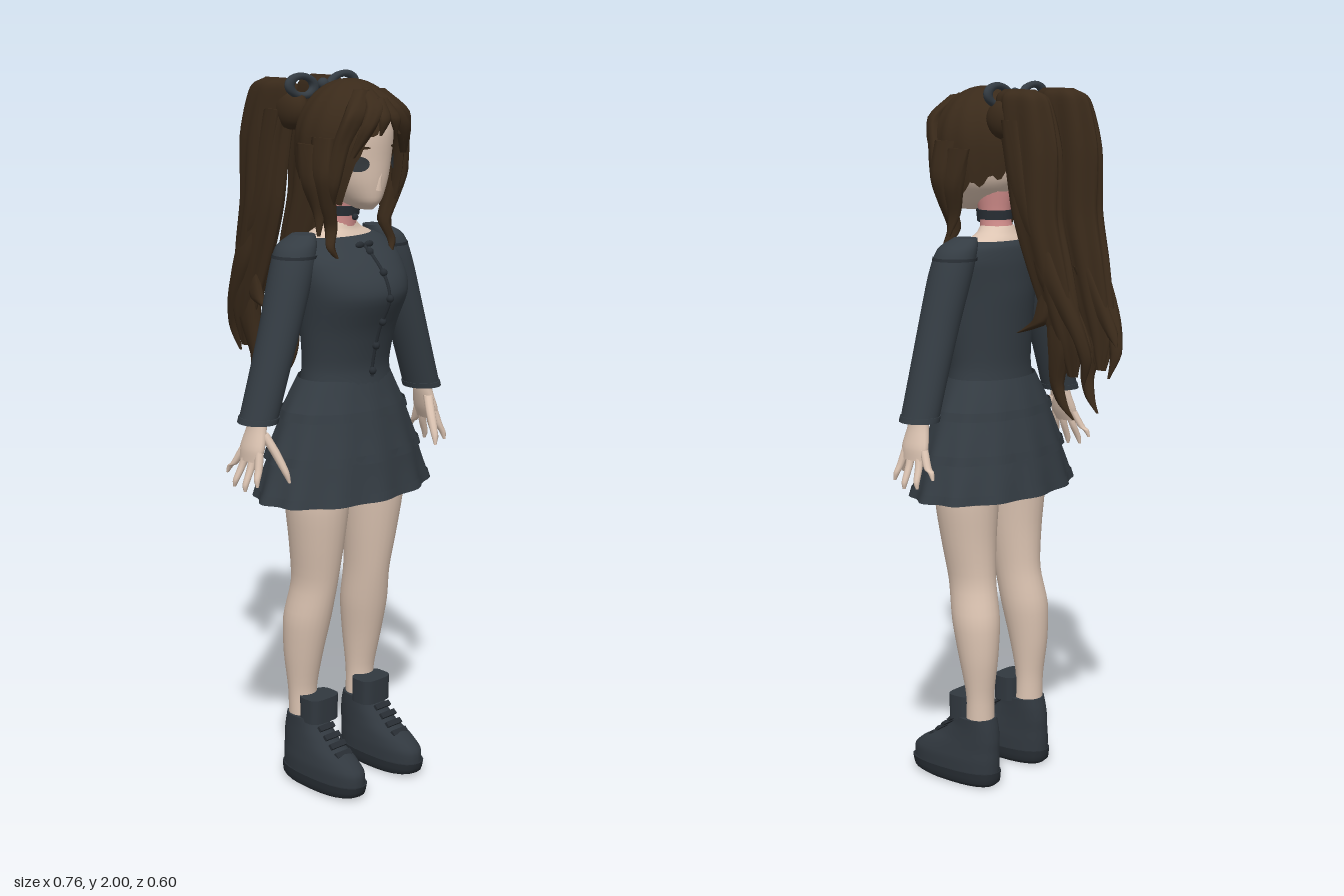
import * as THREE from 'three';

const mat = (name, color, double) => {
  const m = new THREE.MeshStandardMaterial({ color });
  m.name = name;
  if (double) m.side = THREE.DoubleSide;
  return m;
};

// Smooth stack of horizontal elliptical rings: each section is [x, y, z, rx, rz].
function loft(sections, { seg = 24, steps = 4, power = 2, caps = true, rule } = {}) {
  const s = sections[0][1] > sections[sections.length - 1][1] ? [...sections].reverse() : sections;
  const mid = new THREE.CatmullRomCurve3(s.map(r => new THREE.Vector3(r[0], r[1], r[2])), false, 'catmullrom', 0.4);
  const rad = new THREE.CatmullRomCurve3(s.map(r => new THREE.Vector3(r[3], r[4], 0)), false, 'catmullrom', 0.4);
  const rows = (s.length - 1) * steps, pos = [], idx = [];
  const bend = v => Math.sign(v) * Math.abs(v) ** (2 / power);
  for (let i = 0; i <= rows; i++) {
    const c = mid.getPoint(i / rows), r = rad.getPoint(i / rows);
    for (let j = 0; j < seg; j++) {
      const a = (j / seg) * Math.PI * 2;
      const p = new THREE.Vector3(c.x + r.x * bend(Math.cos(a)), c.y, c.z + r.y * bend(Math.sin(a)));
      if (rule) rule(p, a, i / rows, c);
      pos.push(p.x, p.y, p.z);
    }
  }
  for (let i = 0; i < rows; i++) for (let j = 0; j < seg; j++) {
    const a = i * seg + j, b = i * seg + (j + 1) % seg;
    idx.push(a, a + seg, b, b, a + seg, b + seg);
  }
  if (caps) for (const row of [0, rows]) {
    const base = pos.length / 3, c = mid.getPoint(row / rows);
    for (let j = 0; j < seg; j++) pos.push(...pos.slice((row * seg + j) * 3, (row * seg + j) * 3 + 3));
    pos.push(c.x, c.y, c.z);
    for (let j = 0; j < seg; j++) {
      const k = base + (j + 1) % seg;
      idx.push(base + seg, row ? k : base + j, row ? base + j : k);
    }
  }
  const g = new THREE.BufferGeometry();
  g.setAttribute('position', new THREE.Float32BufferAttribute(pos, 3));
  g.setIndex(idx);
  g.computeVertexNormals();
  return g;
}

export function createModel() {
  const model = new THREE.Group();
  model.name = 'girlFigure';
  const skin = mat('skin', 0xdcc4b2), blush = mat('neckPink', 0xd08c8a), lip = mat('lip', 0xb9938a);
  const dress = mat('dressSlate', 0x343c43, true), trim = mat('trimSlate', 0x272d33);
  const boot = mat('bootSlate', 0x31383f), hair = mat('hairBrown', 0x3a2a1a, true), iris = mat('eyeGrey', 0x33383c);
  const add = (name, geo, m, x = 0, y = 0, z = 0) => {
    const mesh = new THREE.Mesh(geo, m);
    mesh.name = name;
    mesh.position.set(x, y, z);
    model.add(mesh);
    return mesh;
  };
  const side = (s, rows) => rows.map(r => [r[0] * s, ...r.slice(1)]);
  const strands = (n, d) => (p, a, t, c) => {
    const k = 1 + d * Math.sin(n * a + 5 * t);
    p.x = c.x + (p.x - c.x) * k;
    p.z = c.z + (p.z - c.z) * k;
  };

  // Head, neck and bare shoulders
  add('head', loft([[0, 1.645, 0.175, 0.018, 0.03], [0, 1.67, 0.15, 0.05, 0.075], [0, 1.72, 0.125, 0.086, 0.108],
    [0, 1.78, 0.115, 0.106, 0.121], [0, 1.85, 0.112, 0.115, 0.127], [0, 1.91, 0.11, 0.1, 0.115], [0, 1.95, 0.11, 0.05, 0.06]], { seg: 36 }), skin);
  const nose = add('nose', new THREE.ConeGeometry(0.013, 0.045, 10), skin, 0, 1.722, 0.232);
  nose.rotation.x = 0.35;
  add('mouth', new THREE.BoxGeometry(0.032, 0.004, 0.006), lip, 0, 1.685, 0.221);
  add('neck', loft([[0, 1.57, 0.075, 0.05, 0.05], [0, 1.63, 0.085, 0.041, 0.045], [0, 1.7, 0.09, 0.05, 0.06]]), blush);
  add('shoulders', loft([[0, 1.53, 0.08, 0.15, 0.08], [0, 1.565, 0.075, 0.115, 0.064], [0, 1.585, 0.075, 0.07, 0.053], [0, 1.605, 0.078, 0.046, 0.046]]), skin);
  add('choker', loft([[0, 1.622, 0.087, 0.047, 0.051], [0, 1.648, 0.089, 0.048, 0.052]]), trim);
  add('pendant', new THREE.SphereGeometry(0.009, 10, 8), trim, 0, 1.618, 0.14);

  // Hair cap with an open face, swept strands and a raised nape
  const hairline = b => {
    const jag = 0.012 * Math.sin(b * 17);
    if (b < 0.65) return 1.885 - 0.09 * (b / 0.65) ** 1.4 + jag;
    if (b < 0.95) return 1.795 - 0.125 * (b - 0.65) / 0.3;
    return 1.67 + 0.11 * ((b - 0.95) / 2.19) + jag;
  };
  add('hairCap', loft([[0, 1.7, 0.118, 1, 1], [0, 1.98, 0.118, 1, 1]], {
    seg: 72, steps: 18, caps: false, rule: (p, a, t) => {
      const b = Math.abs(Math.atan2(Math.cos(a), Math.sin(a))), low = hairline(b);
      p.y = low + (1.985 - low) * Math.sin(t * Math.PI / 2);
      const h = (p.y - 1.82) / 0.165;
      const r = Math.sqrt(Math.max(0, 1 - h * h * (h > 0 ? 1 : 0.25))) * (1 + 0.014 * Math.sin(b * 14 + 4 * t));
      p.x = 0.142 * r * Math.cos(a);
      p.z = 0.118 + 0.15 * r * Math.sin(a);
    },
  }), hair);

  for (const s of [1, -1]) {
    const lr = s > 0 ? 'left' : 'right';
    // Eyes and brows follow the curve of the face
    const onFace = (name, w, h, x, y, m) => {
      const g = new THREE.CircleGeometry(1, 20), p = g.attributes.position;
      for (let i = 0; i < p.count; i++) {
        const px = x * s + p.getX(i) * w, py = y + p.getY(i) * h;
        p.setXYZ(i, px, py, 0.121 + 0.122 * Math.sqrt(Math.max(0, 1 - (px / 0.107) ** 2)));
      }
      g.computeVertexNormals();
      add(lr + name, g, m);
    };
    onFace('Eye', 0.026, 0.02, 0.066, 1.77, iris);
    onFace('Brow', 0.025, 0.004, 0.062, 1.812, hair);

    // Fringe and hanging side locks
    const locks = [
      [[0.01, 1.965, 0.18, 0.015, 0.02], [0.03, 1.92, 0.24, 0.03, 0.02], [0.065, 1.865, 0.252, 0.026, 0.016], [0.095, 1.79, 0.225, 0.008, 0.008]],
      [[0.03, 1.96, 0.19, 0.02, 0.02], [0.08, 1.9, 0.22, 0.035, 0.022], [0.112, 1.82, 0.2, 0.024, 0.024], [0.125, 1.72, 0.18, 0.02, 0.025], [0.115, 1.66, 0.17, 0.006, 0.008]],
      [[0.125, 1.84, 0.15, 0.02, 0.04], [0.135, 1.74, 0.16, 0.025, 0.035], [0.118, 1.66, 0.155, 0.022, 0.025], [0.1, 1.6, 0.15, 0.016, 0.02], [0.115, 1.55, 0.165, 0.012, 0.012], [0.1, 1.515, 0.18, 0.003, 0.003]],
      [[0.135, 1.82, 0.1, 0.015, 0.04], [0.142, 1.72, 0.12, 0.016, 0.035], [0.125, 1.64, 0.13, 0.014, 0.02], [0.135, 1.58, 0.14, 0.004, 0.005]],
    ];
    locks.forEach((l, i) => add(lr + 'FaceLock' + (i + 1), loft(side(s, l), { seg: 14, rule: strands(4, 0.12) }), hair));
    add(lr + 'FringeTip', loft([[0.005 * s, 1.94, 0.235, 0.012, 0.012], [0.018 * s, 1.89, 0.268, 0.02, 0.01], [0.028 * s, 1.845, 0.262, 0.003, 0.004]], { seg: 10 }), hair);

    // Long wavy pigtails built from one body and curling strands
    const tail = [[0.085, 1.98, -0.07, 0.012, 0.05], [0.088, 1.95, -0.085, 0.03, 0.085], [0.09, 1.82, -0.115, 0.038, 0.09], [0.09, 1.65, -0.13, 0.038, 0.078],
      [0.085, 1.52, -0.165, 0.034, 0.07], [0.08, 1.4, -0.2, 0.028, 0.058], [0.075, 1.31, -0.225, 0.02, 0.045], [0.065, 1.22, -0.235, 0.008, 0.015]];
    add(lr + 'Pigtail', loft(side(s, tail), { seg: 36, steps: 6, rule: strands(7, 0.09) }), hair);
    const curls = [
      [[0.1, 1.62, -0.14, 0.015, 0.03], [0.1, 1.48, -0.19, 0.022, 0.04], [0.085, 1.36, -0.25, 0.018, 0.03], [0.07, 1.27, -0.28, 0.012, 0.018], [0.058, 1.2, -0.265, 0.003, 0.004]],
      [[0.08, 1.42, -0.2, 0.02, 0.04], [0.078, 1.3, -0.2, 0.02, 0.035], [0.07, 1.2, -0.185, 0.014, 0.02], [0.063, 1.14, -0.2, 0.01, 0.015], [0.056, 1.1, -0.23, 0.003, 0.004]],
      [[0.095, 1.44, -0.17, 0.012, 0.025], [0.095, 1.37, -0.15, 0.012, 0.025], [0.09, 1.345, -0.11, 0.008, 0.018], [0.085, 1.325, -0.06, 0.002, 0.003]],
      [[0.115, 1.9, -0.06, 0.012, 0.03], [0.118, 1.72, -0.1, 0.012, 0.03], [0.112, 1.58, -0.15, 0.012, 0.025], [0.1, 1.48, -0.21, 0.003, 0.004]],
      [[0.065, 1.5, -0.17, 0.015, 0.03], [0.065, 1.34, -0.26, 0.012, 0.022], [0.057, 1.29, -0.292, 0.003, 0.004]],
    ];
    curls.forEach((l, i) => add(lr + 'TailCurl' + (i + 1), loft(side(s, l), { seg: 14, rule: strands(4, 0.12) }), hair));
    const root = add(lr + 'TailRoot', new THREE.SphereGeometry(1, 16, 12), hair, 0.085 * s, 1.9, -0.02);
    root.scale.set(0.036, 0.055, 0.06);

    // Hair bow loop
    const loop = add(lr + 'BowLoop', new THREE.TorusGeometry(0.036, 0.013, 10, 24), dress, 0.075 * s, 1.962, 0.012);
    loop.scale.set(1.25, 0.72, 0.8);
    loop.rotation.z = s * 0.12;

    // Sleeve, shoulder seam and cuff hem
    const sleeve = [[0.135, 1.58, 0.08, 0.03, 0.035], [0.165, 1.55, 0.085, 0.055, 0.056], [0.19, 1.48, 0.09, 0.059, 0.062], [0.232, 1.35, 0.095, 0.056, 0.058],
      [0.276, 1.22, 0.096, 0.052, 0.056], [0.316, 1.1, 0.096, 0.05, 0.055]];
    add(lr + 'Sleeve', loft(side(s, sleeve)), dress);
    add(lr + 'ShoulderSeam', loft(side(s, [[0.171, 1.53, 0.087, 0.061, 0.063], [0.174, 1.522, 0.087, 0.061, 0.063]]), { steps: 1 }), trim);
    add(lr + 'CuffHem', loft(side(s, [[0.312, 1.112, 0.096, 0.053, 0.058], [0.317, 1.097, 0.096, 0.053, 0.058]]), { steps: 1 }), dress);

    // Hand with four fingers and a thumb
    add(lr + 'Palm', loft(side(s, [[0.316, 1.12, 0.096, 0.024, 0.027], [0.322, 1.08, 0.096, 0.022, 0.034], [0.336, 1.03, 0.095, 0.02, 0.044], [0.345, 0.995, 0.093, 0.012, 0.038]]), { seg: 16 }), skin);
    const fingers = [[0.125, 0.145, 0.935, 0.364], [0.104, 0.105, 0.917, 0.372], [0.081, 0.06, 0.922, 0.37], [0.062, 0.016, 0.95, 0.356]];
    fingers.forEach(([z0, z1, y, x], i) => add(lr + 'Finger' + (i + 1), loft(side(s, [[0.338, 1.025, z0, 0.012, 0.012], [0.35, 0.98, (z0 + z1) / 2, 0.011, 0.011],
      [x - 0.003, y + 0.02, z1 * 0.8 + z0 * 0.2, 0.009, 0.009], [x, y, z1, 0.004, 0.004]]), { seg: 10 }), skin));
    add(lr + 'Thumb', loft(side(s, [[0.318, 1.07, 0.12, 0.014, 0.014], [0.302, 1.02, 0.148, 0.013, 0.014], [0.29, 0.97, 0.174, 0.01, 0.011], [0.284, 0.94, 0.184, 0.004, 0.004]]), { seg: 10 }), skin);

    // Leg with thigh band
    add(lr + 'Leg', loft(side(s, [[0.1, 0.98, 0.1, 0.09, 0.1], [0.107, 0.84, 0.104, 0.086, 0.095], [0.105, 0.72, 0.1, 0.073, 0.083], [0.103, 0.6, 0.089, 0.06, 0.073],
      [0.112, 0.49, 0.069, 0.064, 0.072], [0.116, 0.38, 0.057, 0.054, 0.058], [0.115, 0.27, 0.052, 0.042, 0.04], [0.113, 0.17, 0.055, 0.042, 0.042]])), skin);
    add(lr + 'ThighBand', loft(side(s, [[0.107, 0.838, 0.104, 0.086, 0.095], [0.107, 0.845, 0.104, 0.091, 0.1], [0.107, 0.862, 0.104, 0.092, 0.101]])), skin);

    // Boot: sole, upper, forward-set ankle cuff and laces
    add(lr + 'Sole', loft(side(s, [[0.115, 0, 0.13, 0.05, 0.125], [0.115, 0.012, 0.14, 0.06, 0.147], [0.115, 0.042, 0.143, 0.063, 0.153]]), { power: 2.5, steps: 2 }), trim);
    add(lr + 'Boot', loft(side(s, [[0.115, 0.035, 0.142, 0.06, 0.149], [0.115, 0.075, 0.14, 0.06, 0.148], [0.114, 0.105, 0.123, 0.056, 0.13], [0.113, 0.135, 0.092, 0.052, 0.098],
      [0.112, 0.17, 0.073, 0.05, 0.073], [0.112, 0.2, 0.067, 0.05, 0.058]]), { power: 2.3 }), boot);
    add(lr + 'BootCuff', loft(side(s, [[0.104, 0.19, 0.109, 0.052, 0.038], [0.104, 0.262, 0.109, 0.053, 0.039]]), { power: 3.5, steps: 2, seg: 32 }), boot);
    for (let i = 0; i < 4; i++) {
      const lace = add(lr + 'Lace' + (i + 1), new THREE.BoxGeometry(0.056, 0.009, 0.016), trim, 0.113 * s, 0.118 + i * 0.02, 0.218 - i * 0.023);
      lace.rotation.x = 0.75;
    }
  }
  add('bowKnot', new THREE.SphereGeometry(0.016, 12, 10), dress, 0, 1.965, 0.015);

  // Fitted bodice with placket, buttons and neckline ribbon
  add('bodice', loft([[0, 1.15, 0.106, 0.146, 0.108], [0, 1.22, 0.106, 0.136, 0.102], [0, 1.32, 0.115, 0.146, 0.117], [0, 1.41, 0.131, 0.16, 0.14],
    [0, 1.46, 0.125, 0.167, 0.134], [0, 1.51, 0.105, 0.168, 0.113], [0, 1.55, 0.083, 0.15, 0.085], [0, 1.567, 0.077, 0.118, 0.068]], { seg: 36 }), dress);
  const front = new THREE.CatmullRomCurve3([[1.19, 0.208], [1.22, 0.209], [1.32, 0.233], [1.41, 0.272], [1.46, 0.26], [1.51, 0.219], [1.545, 0.175]]
    .map(([y, z]) => new THREE.Vector3(0, y, z)));
  add('placket', new THREE.TubeGeometry(front, 30, 0.005, 6), trim);
  for (let i = 0; i < 6; i++) {
    const p = front.getPointAt(0.04 + i * 0.18);
    add('button' + (i + 1), new THREE.SphereGeometry(0.011, 10, 8), trim, 0, p.y, p.z + 0.002);
  }
  for (const s of [1, -1]) {
    const r = add('neckRibbon', new THREE.SphereGeometry(1, 12, 8), trim, 0.017 * s, 1.548, 0.176);
    r.scale.set(0.016, 0.009, 0.007);
  }

  // Three rippled skirt tiers, each ending in a hem band
  const ripple = k => (p, a, t, c) => {
    const f = 1 + k * (1 - t) * Math.sin(12 * a + 0.6);
    p.x = c.x + (p.x - c.x) * f;
    p.z = c.z + (p.z - c.z) * f;
  };
  const tiers = [[1.185, 1.08, 0.145, 0.108, 0.204, 0.138, 0.012], [1.1, 0.965, 0.192, 0.13, 0.249, 0.164, 0.02], [0.985, 0.86, 0.238, 0.157, 0.284, 0.182, 0.028]];
  tiers.forEach(([y1, y0, ax, az, bx, bz, k], i) => {
    add('skirtTier' + (i + 1), loft([[0, y0, 0.096, bx, bz], [0, (y0 + y1) / 2, 0.097, (ax + bx) / 2, (az + bz) / 2], [0, y1, 0.1, ax, az]],
      { seg: 96, caps: false, rule: ripple(k) }), dress);
    add('skirtHem' + (i + 1), loft([[0, y0 - 0.002, 0.096, bx + 0.003, bz + 0.003], [0, y0 + 0.022, 0.096, bx - 0.004, bz - 0.002]],
      { seg: 96, steps: 2, caps: false, rule: (p, a, t, c) => ripple(k)(p, a, t * 0.2, c) }), dress);
  });
  add('shorts', loft([[0, 0.93, 0.1, 0.15, 0.09], [0, 1.0, 0.1, 0.18, 0.11], [0, 1.16, 0.104, 0.14, 0.1]]), dress);
  return model;
}
